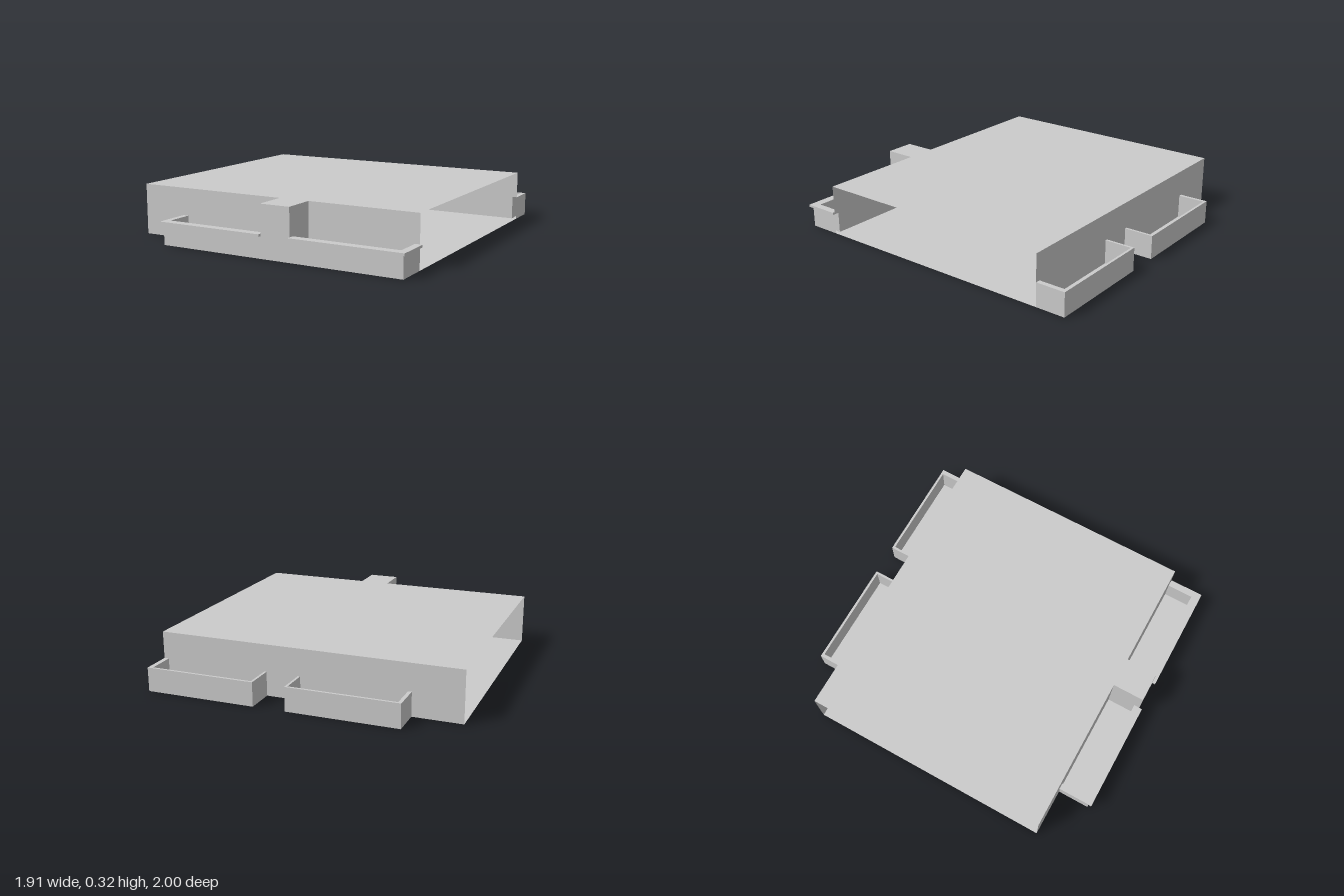
import * as THREE from 'three';

const material = new THREE.MeshStandardMaterial({ color: 0xcccccc, side: THREE.DoubleSide, flatShading: true });

// Plan outline from [x, z] points
const outline = (pts) => new THREE.Shape(pts.map(([x, z]) => new THREE.Vector2(x, -z)));

// Horizontal sheet, or a slab when given a thickness
function slab(name, pts, y, thickness = 0) {
  const shape = outline(pts);
  const geo = thickness
    ? new THREE.ExtrudeGeometry(shape, { depth: thickness, bevelEnabled: false })
    : new THREE.ShapeGeometry(shape);
  geo.rotateX(-Math.PI / 2).translate(0, y, 0);
  const mesh = new THREE.Mesh(geo, material);
  mesh.name = name;
  return mesh;
}

// Vertical thin wall following a plan path
function wall(name, path, y0, y1) {
  const pos = [];
  for (let i = 0; i < path.length - 1; i++) {
    const [ax, az] = path[i], [bx, bz] = path[i + 1];
    pos.push(ax, y0, az, bx, y0, bz, bx, y1, bz, ax, y0, az, bx, y1, bz, ax, y1, az);
  }
  const geo = new THREE.BufferGeometry();
  geo.setAttribute('position', new THREE.Float32BufferAttribute(pos, 3));
  geo.computeVertexNormals();
  const mesh = new THREE.Mesh(geo, material);
  mesh.name = name;
  return mesh;
}

export function createModel() {
  const model = new THREE.Group();
  model.name = 'buildingStorey';

  const L = -0.957, R = 0.94, F = 0.777, B = -0.813, H = 0.32;
  const frontZ = 0.98, backZ = -1, innerZ = 0.945, innerBackZ = -0.985;
  const balL = -0.655, inL = -0.63, inR = 0.91;
  const colL = 0.045, colR = 0.24;
  const railY = 0.132, railTop = 0.147, backTop = 0.15;
  const backBays = [[-0.652, 0.043, inL, 0.028], [0.245, R, 0.26, inR]];

  // Floor reaches under all balconies
  model.add(slab('floor', [
    [L, F], [balL, F], [balL, frontZ], [R, frontZ], [R, B],
    [R, backZ], [0.245, backZ], [0.245, B], [0.043, B], [0.043, backZ],
    [-0.652, backZ], [-0.652, B], [L, B],
  ], 0));

  // Roof reaches over the front pier
  model.add(slab('roof', [
    [L, F], [colL, F], [colL, frontZ], [colR, frontZ], [colR, F], [R, F], [R, B], [L, B],
  ], H));

  // Front wall and pier; the hollow parapet ends open into the room
  const front = new THREE.Group();
  front.name = 'frontWall';
  front.add(
    wall('frontWallCorner', [[L, F], [balL, F]], 0, H),
    wall('frontWallRightJamb', [[balL, F], [inL, F]], railTop, H),
    wall('frontWallRightBay', [[inL, F], [colL, F]], 0, H),
    wall('frontPier', [[colL, F], [colL, frontZ], [colR, frontZ], [colR, F]], 0, H),
    wall('frontWallLeftBay', [[colR, F], [inR, F]], 0, H),
    wall('frontWallLeftJamb', [[inR, F], [R, F]], railTop, H),
  );
  model.add(front);

  // Front balconies: outer skin, inner skin and overhanging rail
  const bays = [
    { end: balL, inner: inL, rail: -0.667, pier: colL },
    { end: R, inner: inR, rail: 0.955, pier: colR },
  ];
  for (const { end, inner, rail, pier } of bays) {
    const g = new THREE.Group();
    g.name = 'frontBalcony';
    g.add(
      wall('parapetOuter', [[end, F], [end, frontZ], [pier, frontZ]], 0, railY),
      wall('parapetInner', [[inner, F], [inner, innerZ], [pier, innerZ]], 0, railY),
      slab('rail', [[rail, F], [rail, 1], [pier, 1], [pier, innerZ], [inner, innerZ], [inner, F]],
        railY, railTop - railY),
    );
    model.add(g);
  }

  // Back wall with the same open slots behind the parapet ends
  const back = new THREE.Group();
  back.name = 'backWall';
  back.add(wall('backWallUpper', [[R, B], [L, B]], backTop, H));
  for (const [a, b] of [[L, -0.652], [inL, 0.028], [0.043, 0.245], [0.26, inR]]) {
    back.add(wall('backWallLower', [[b, B], [a, B]], 0, backTop));
  }
  model.add(back);

  // Back balconies: hollow U-shaped parapets with a flat top
  for (const [a, b, ia, ib] of backBays) {
    const g = new THREE.Group();
    g.name = 'backBalcony';
    const outer = [[b, B], [b, backZ], [a, backZ], [a, B]];
    const inner = [[ia, B], [ia, innerBackZ], [ib, innerBackZ], [ib, B]];
    g.add(
      wall('parapetOuter', outer, 0, backTop),
      wall('parapetInner', inner, 0, backTop),
      slab('parapetTop', [...outer, ...inner], backTop),
    );
    model.add(g);
  }

  return model;
}
